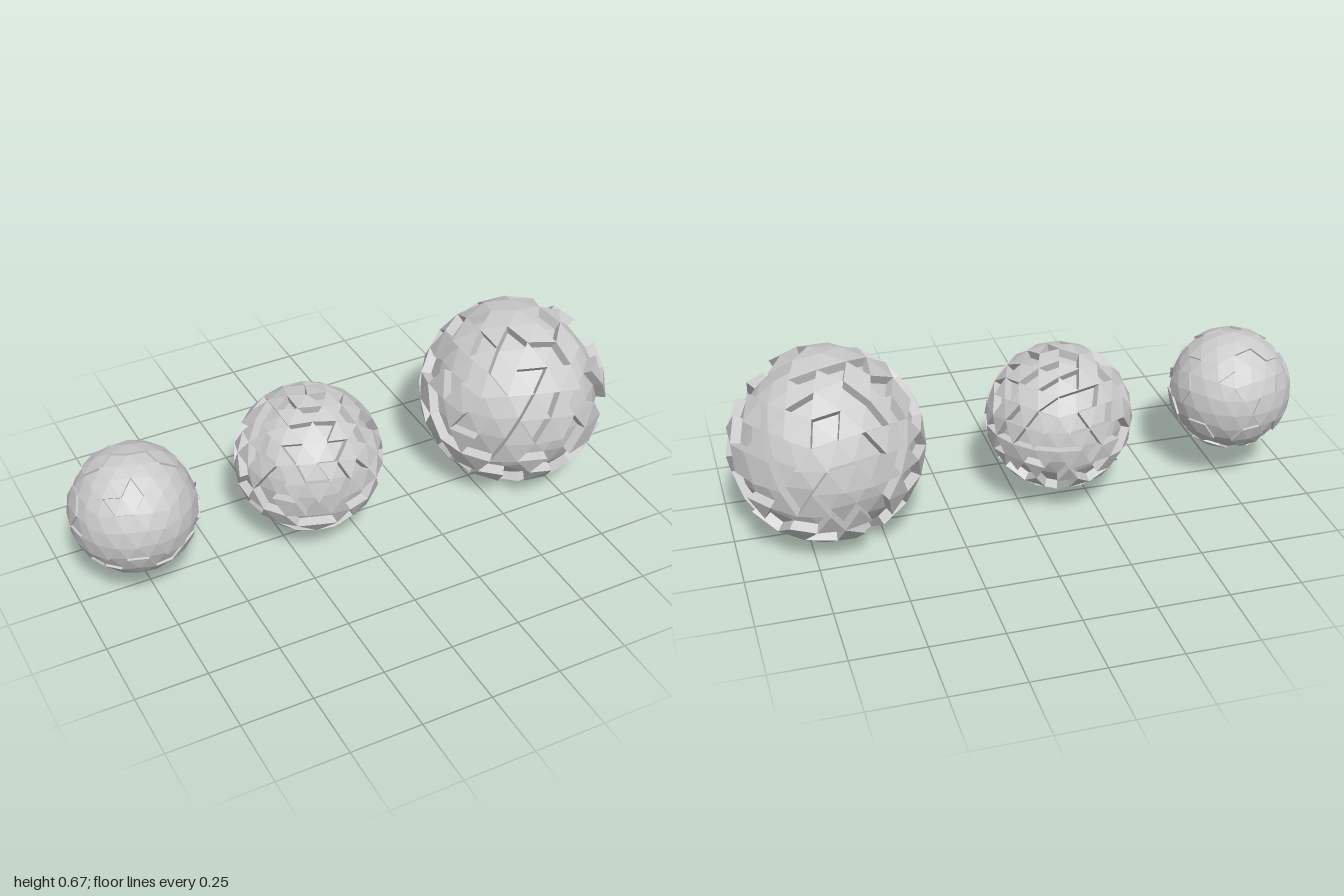
import * as THREE from 'three';

// Seeded random numbers in 0..1
function seeded(seed) {
  let s = seed;
  return () => {
    s = (s * 1664525 + 1013904223) % 4294967296;
    return s / 4294967296;
  };
}

// Unit icosphere standing on a pole: 320 triangles with shared corners
function icosphere(levels) {
  const verts = [new THREE.Vector3(0, 1, 0)];
  const lat = Math.atan(0.5);
  for (const [side, turn] of [[1, 0], [-1, Math.PI / 5]]) {
    for (let i = 0; i < 5; i++) {
      const a = turn + i * Math.PI * 0.4;
      verts.push(new THREE.Vector3(
        Math.cos(lat) * Math.cos(a), side * Math.sin(lat), -Math.cos(lat) * Math.sin(a)));
    }
  }
  verts.push(new THREE.Vector3(0, -1, 0));
  let faces = [];
  for (let i = 0; i < 5; i++) {
    const j = (i + 1) % 5;
    faces.push([0, 1 + i, 1 + j], [1 + i, 6 + i, 1 + j], [1 + j, 6 + i, 6 + j], [11, 6 + j, 6 + i]);
  }
  for (let n = 0; n < levels; n++) {
    const mids = new Map();
    const mid = (a, b) => {
      const key = Math.min(a, b) + '_' + Math.max(a, b);
      if (!mids.has(key)) {
        mids.set(key, verts.length);
        verts.push(verts[a].clone().add(verts[b]).normalize());
      }
      return mids.get(key);
    };
    faces = faces.flatMap(([a, b, c]) => {
      const ab = mid(a, b), bc = mid(b, c), ca = mid(c, a);
      return [[a, ab, ca], [ab, b, bc], [ca, bc, c], [ab, bc, ca]];
    });
  }
  // neighbour across each of the three edges, and face centres
  const owner = new Map();
  faces.forEach((f, i) => f.forEach((v, k) => owner.set(v + '_' + f[(k + 1) % 3], i)));
  const near = faces.map((f) => f.map((v, k) => owner.get(f[(k + 1) % 3] + '_' + v)));
  const centres = faces.map((f) => f
    .reduce((sum, v) => sum.add(verts[v]), new THREE.Vector3()).normalize());
  return { verts, faces, near, centres };
}

// Faces within an angle of a direction
function patch(ball, x, y, z, angle) {
  const d = new THREE.Vector3(x, y, z).normalize();
  return ball.faces.map((_, i) => i).filter((i) => ball.centres[i].angleTo(d) < angle);
}

// The single face closest to a direction
function faceAt(ball, x, y, z) {
  const d = new THREE.Vector3(x, y, z).normalize();
  return ball.centres.reduce((best, c, i) => (c.dot(d) > ball.centres[best].dot(d) ? i : best), 0);
}

// Random triangles, each touching at most one raised neighbour when chosen
function scatter(ball, share, rand) {
  const raised = new Set();
  for (let n = 0; n < 5000 && raised.size < share * ball.faces.length; n++) {
    const f = Math.floor(rand() * ball.faces.length);
    if (ball.near[f].filter((i) => raised.has(i)).length < 2) raised.add(f);
  }
  return raised;
}

// Random separate hexagons: the triangles that meet at a chosen corner
function hexagons(ball, tries, rand) {
  const raised = new Set();
  for (let n = 0; n < tries; n++) {
    const v = Math.floor(rand() * ball.verts.length);
    const ring = ball.faces.map((_, i) => i).filter((i) => ball.faces[i].includes(v));
    if (ring.every((i) => !raised.has(i))) ring.forEach((i) => raised.add(i));
  }
  return raised;
}

// Sphere whose raised triangles are pushed outward, with walls around them
function panelSphere(name, ball, raised, inner, outer, x, y) {
  const pos = [];
  const tri = (...pts) => pts.forEach((p) => pos.push(p.x, p.y, p.z));
  const at = (v, r) => ball.verts[v].clone().multiplyScalar(r);
  ball.faces.forEach((f, i) => {
    const up = raised.has(i);
    tri(...f.map((v) => at(v, up ? outer : inner)));
    if (!up) return;
    f.forEach((a, k) => {
      if (raised.has(ball.near[i][k])) return;
      const b = f[(k + 1) % 3];
      const a0 = at(a, inner), b0 = at(b, inner), a1 = at(a, outer), b1 = at(b, outer);
      tri(a0, b0, b1);
      tri(a0, b1, a1);
    });
  });
  const geo = new THREE.BufferGeometry();
  geo.setAttribute('position', new THREE.Float32BufferAttribute(pos, 3));
  geo.computeVertexNormals();
  const mesh = new THREE.Mesh(geo, new THREE.MeshStandardMaterial({
    color: 0xcccccc, flatShading: true, side: THREE.DoubleSide }));
  mesh.name = name;
  mesh.position.set(x, y, 0);
  return mesh;
}

export function createModel() {
  const group = new THREE.Group();
  group.name = 'panelSpheres';
  const ball = icosphere(2);

  // Small sphere: shallow hexagonal plates
  const small = hexagons(ball, 400, seeded(11));
  group.add(panelSphere('smallSphere', ball, small, 0.21, 0.218, -0.782, 0.328));

  // Middle sphere: scattered raised triangles
  const middle = scatter(ball, 0.47, seeded(23));
  group.add(panelSphere('middleSphere', ball, middle, 0.227, 0.257, -0.147, 0.312));

  // Large sphere: scattered raised triangles, with plates at the poles
  const large = scatter(ball, 0.42, seeded(37));
  patch(ball, 0, -1, 0.25, 0.22).forEach((i) => large.add(i));

  // Its +x side: mostly smooth with single plates, given as height and z
  patch(ball, 1, 0.1, 0, 1).forEach((i) => large.delete(i));
  const plates = [
    [0.10, 0], [0.12, 0.1], [0.057, -0.097], [0.03, -0.145], [0.03, 0.145], [0.06, 0.19],
    [0.25, 0.17], [0.14, 0.23], [0.31, 0.03], [0.31, -0.06], [0.23, -0.05],
    [0.2, -0.11], [0.13, -0.17], [0.08, -0.22], [0.03, -0.25], [-0.03, 0.05],
    [-0.12, 0.23], [-0.14, 0.05], [-0.23, 0.02], [-0.24, 0.1],
    [-0.22, -0.1], [-0.12, -0.18], [-0.08, -0.25], [0.05, 0.31],
  ];
  for (const [y, z] of plates) {
    large.add(faceAt(ball, Math.sqrt(0.335 ** 2 - y * y - z * z), y, z));
  }
  patch(ball, 0, 1, 0, 0.2).forEach((i) => large.add(i));
  group.add(panelSphere('largeSphere', ball, large, 0.3, 0.335, 0.665, 0.33));
  return group;
}
